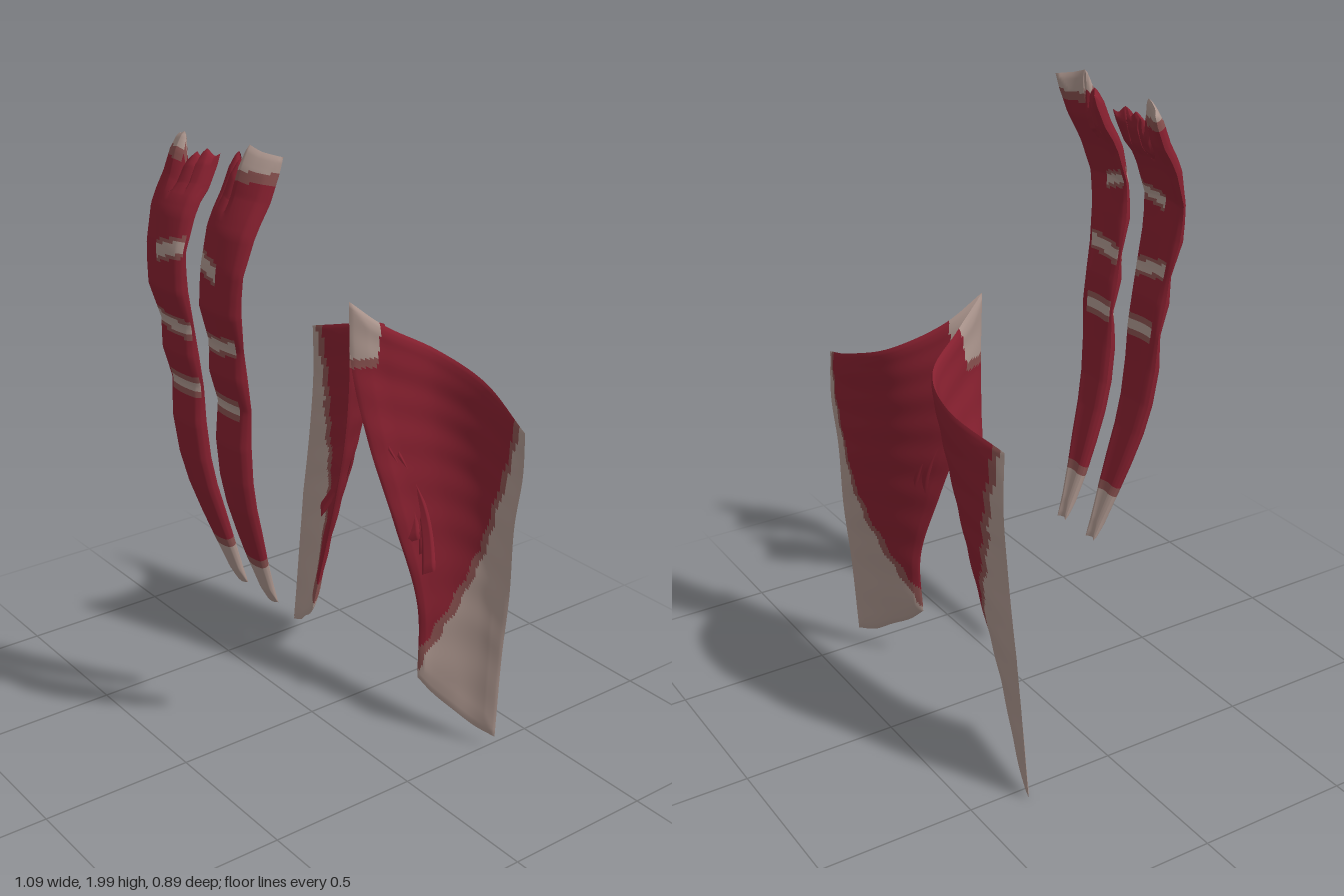
import * as THREE from 'three';

const V = (x, y, z) => new THREE.Vector3(x, y, z);
const { lerp, clamp } = THREE.MathUtils;

// Piecewise-linear lookup in [[key, value], ...] with rising keys
function table(rows, k, col = 1) {
  let i = 1;
  while (i < rows.length - 1 && k > rows[i][0]) i++;
  const [a, b] = [rows[i - 1], rows[i]];
  return lerp(a[col], b[col], clamp((k - a[0]) / (b[0] - a[0]), 0, 1));
}

// Closed sheet: point(u,v) is the mid surface, half(u,v) the half thickness,
// paint(p,u,v) picks a material index for each face
function slab(name, point, half, paint, mats, nu, nv) {
  const pos = [], buckets = mats.map(() => []), e = 1e-3;
  const size = (nu + 1) * (nv + 1), mid = [];
  const normal = (u, v) => {
    const u0 = Math.max(0, u - e), u1 = Math.min(1, u + e);
    const v0 = Math.max(0, v - e), v1 = Math.min(1, v + e);
    return point(u1, v).sub(point(u0, v)).cross(point(u, v1).sub(point(u, v0))).normalize();
  };
  const offsets = [];
  for (let j = 0; j <= nv; j++) for (let i = 0; i <= nu; i++) {
    const u = i / nu, v = j / nv;
    const rim = Math.min(1, Math.min(u, 1 - u) * 8, Math.min(v, 1 - v) * 25);
    mid.push(point(u, v));
    offsets.push(normal(u, v).multiplyScalar(half(u, v) * Math.sqrt(rim)));
  }
  for (const s of [1, -1]) mid.forEach((p, i) => pos.push(...p.clone().addScaledVector(offsets[i], s).toArray()));
  for (let j = 0; j < nv; j++) for (let i = 0; i < nu; i++) {
    const a = j * (nu + 1) + i, b = a + 1, c = a + nu + 1, d = c + 1;
    const centre = mid[a].clone().add(mid[d]).multiplyScalar(0.5);
    const list = buckets[paint(centre, (i + 0.5) / nu, (j + 0.5) / nv)];
    list.push(a, b, c, b, d, c);
    list.push(...[a, c, b, b, c, d].map(k => k + size));
  }
  const geo = new THREE.BufferGeometry();
  geo.setAttribute('position', new THREE.Float32BufferAttribute(pos, 3));
  geo.setIndex(buckets.flat());
  let start = 0;
  buckets.forEach((b, m) => { if (b.length) geo.addGroup(start, b.length, m); start += b.length; });
  geo.computeVertexNormals();
  const mesh = new THREE.Mesh(geo, mats);
  mesh.name = name;
  return mesh;
}

// Front strap sections: y, inner x, outer x, z, half thickness
const STRAP = [
  [0.53, 0.055, 0.098, 0.215, 0.010], [0.6, 0.05, 0.108, 0.24, 0.014], [0.7, 0.04, 0.127, 0.275, 0.017],
  [0.8, 0.036, 0.147, 0.307, 0.02], [0.9, 0.035, 0.163, 0.338, 0.022], [1.0, 0.035, 0.176, 0.36, 0.023],
  [1.12, 0.036, 0.188, 0.373, 0.023], [1.24, 0.038, 0.198, 0.375, 0.014], [1.34, 0.037, 0.203, 0.393, 0.023],
  [1.43, 0.037, 0.206, 0.403, 0.013], [1.54, 0.038, 0.222, 0.423, 0.023], [1.66, 0.04, 0.237, 0.427, 0.015],
  [1.76, 0.04, 0.243, 0.402, 0.022], [1.86, 0.04, 0.246, 0.36, 0.022], [2.0, 0.043, 0.25, 0.327, 0.016],
];
// Ragged upper end, height across the width
const RAGGED = [[0, 1.95], [0.06, 1.94], [0.16, 1.965], [0.22, 1.93], [0.3, 1.95], [0.4, 1.93],
  [0.44, 1.87], [0.48, 1.9], [0.53, 2.0], [0.75, 1.985], [1, 1.975]];
// Tendon bands: height, how far across, slant
const BANDS = [[1.24, 0.82, 0], [1.43, 0.9, 0.01], [1.66, 0.55, -0.025]];

function frontStrap(side, mats) {
  const shift = side < 0 ? 0.012 : 0;
  const point = (u, v) => {
    const y = lerp(0.53, 2, v);
    const x = lerp(table(STRAP, y, 1), table(STRAP, y, 2), u) + shift;
    const bow = Math.pow(2 * u - 1, 2) * lerp(0.012, 0.045, clamp((y - 1.6) / 0.35, 0, 1));
    const top = table(RAGGED, u) - (side < 0 ? 0.022 : 0);
    const yy = y > 1.8 ? lerp(1.8, top, (y - 1.8) / 0.2) : y;
    return V(side * x, yy, table(STRAP, y, 3) - bow);
  };
  const paint = (p, u) => {
    if (p.y < 0.72) return p.y < 0.685 ? 1 : 2;
    if (u > 0.5 && p.y > 1.9) return p.y > 1.93 ? 1 : 2;
    for (const [y, reach, slant] of BANDS) {
      const d = Math.abs(p.y - y - slant * (u - 0.3) * 2);
      if (u > 0.02 && u < reach && d < 0.03) return d < 0.017 ? 1 : 2;
    }
    return 0;
  };
  return slab(side > 0 ? 'leftFrontStrap' : 'rightFrontStrap', point,
    (u, v) => table(STRAP, lerp(0.53, 2, v), 4), paint, mats, 40, 150);
}

// Back fan: cross-sections from the inner edge to the outer edge, top to bottom
const FAN = [
  [V(0, 1.42, -0.14), V(0.04, 1.33, -0.25), V(0.13, 1.25, -0.385), V(0.3, 1.185, -0.435), V(0.54, 1.1, -0.39)],
  [V(0.005, 1.2, -0.15), V(0.06, 1.14, -0.26), V(0.16, 1.08, -0.37), V(0.32, 1.02, -0.42), V(0.53, 0.95, -0.4)],
  [V(0.06, 0.95, -0.18), V(0.12, 0.92, -0.27), V(0.21, 0.89, -0.355), V(0.34, 0.84, -0.405), V(0.515, 0.78, -0.39)],
  [V(0.15, 0.7, -0.215), V(0.2, 0.69, -0.28), V(0.28, 0.67, -0.345), V(0.38, 0.63, -0.38), V(0.52, 0.55, -0.38)],
  [V(0.245, 0.44, -0.24), V(0.285, 0.43, -0.275), V(0.35, 0.41, -0.315), V(0.43, 0.38, -0.345), V(0.52, 0.33, -0.36)],
  [V(0.285, 0.2, -0.215), V(0.33, 0.155, -0.24), V(0.4, 0.11, -0.275), V(0.46, 0.07, -0.31), V(0.527, 0.05, -0.34)],
];
// Where the pale outer tendon begins: y, x
const TENDON = [[0.2, 0.275], [0.28, 0.295], [0.44, 0.345], [0.65, 0.4], [0.87, 0.45], [1.0, 0.485], [1.12, 0.515]];

function backFan(side, mats) {
  const columns = FAN[0].map((_, c) => new THREE.CatmullRomCurve3(FAN.map(r => r[c])));
  const point = (u, v) => {
    const p = new THREE.CatmullRomCurve3(columns.map(c => c.getPoint(v))).getPoint(u);
    if (side < 0) {
      // this side hangs slightly lower and its upper corner sits further in
      p.x += u * u * lerp(-0.04, 0.02, Math.min(1, v * 1.6));
      p.y += u * u * lerp(0.055, -0.045, v);
      p.z += u * u * 0.015;
    }
    p.x *= side;
    return p;
  };
  const half = (u, v) => 0.012 * (1 + 0.12 * Math.sin(v * 55 + u * 4)) * (1 - 0.4 * u);
  const paint = (p, u, v) => {
    const x = Math.abs(p.x);
    if (x < 0.035 && p.y > 1.2) return p.y > 1.23 ? 1 : 2;
    const edge = table(TENDON, p.y) - (side < 0 ? 0.03 * clamp((p.y - 0.8) / 0.3, 0, 1) : 0)
      + 0.005 * Math.sin(p.y * 60);
    return x > edge ? 1 : x > edge - 0.025 ? 2 : 0;
  };
  return slab(side > 0 ? 'leftBackFan' : 'rightBackFan', point, half, paint, mats, 64, 110);
}

// Narrow slips lying on the front of each fan: start, end
const SLIPS = [
  [V(0.09, 0.95, -0.225), V(0.205, 0.65, -0.25)],
  [V(0.11, 0.93, -0.25), V(0.245, 0.62, -0.27)],
  [V(0.13, 0.89, -0.27), V(0.285, 0.57, -0.25)],
];

function fanSlips(side, mats) {
  const group = new THREE.Group();
  group.name = side > 0 ? 'leftFanSlips' : 'rightFanSlips';
  SLIPS.forEach(([a, b], i) => {
    const point = (u, v) => {
      const p = a.clone().lerp(b, v), w = (u - 0.5) * lerp(0.02, 0.05, v);
      return V(side * (p.x + w * 0.75), p.y + w * 0.45, p.z - w * 0.5 - 0.03 * Math.sin(v * Math.PI));
    };
    group.add(slab('slip' + (i + 1), point, () => 0.007, () => 0, mats, 8, 24));
  });
  return group;
}

export function createModel() {
  const colour = (name, hex) => {
    const m = new THREE.MeshStandardMaterial({ color: hex });
    m.name = name;
    return m;
  };
  const mats = [colour('muscleRed', 0x86202f), colour('tendonPale', 0xab958d), colour('blendBrown', 0x87504e)];
  const model = new THREE.Group();
  model.name = 'trunkMuscles';
  for (const side of [1, -1]) model.add(frontStrap(side, mats), backFan(side, mats), fanSlips(side, mats));
  return model;
}
